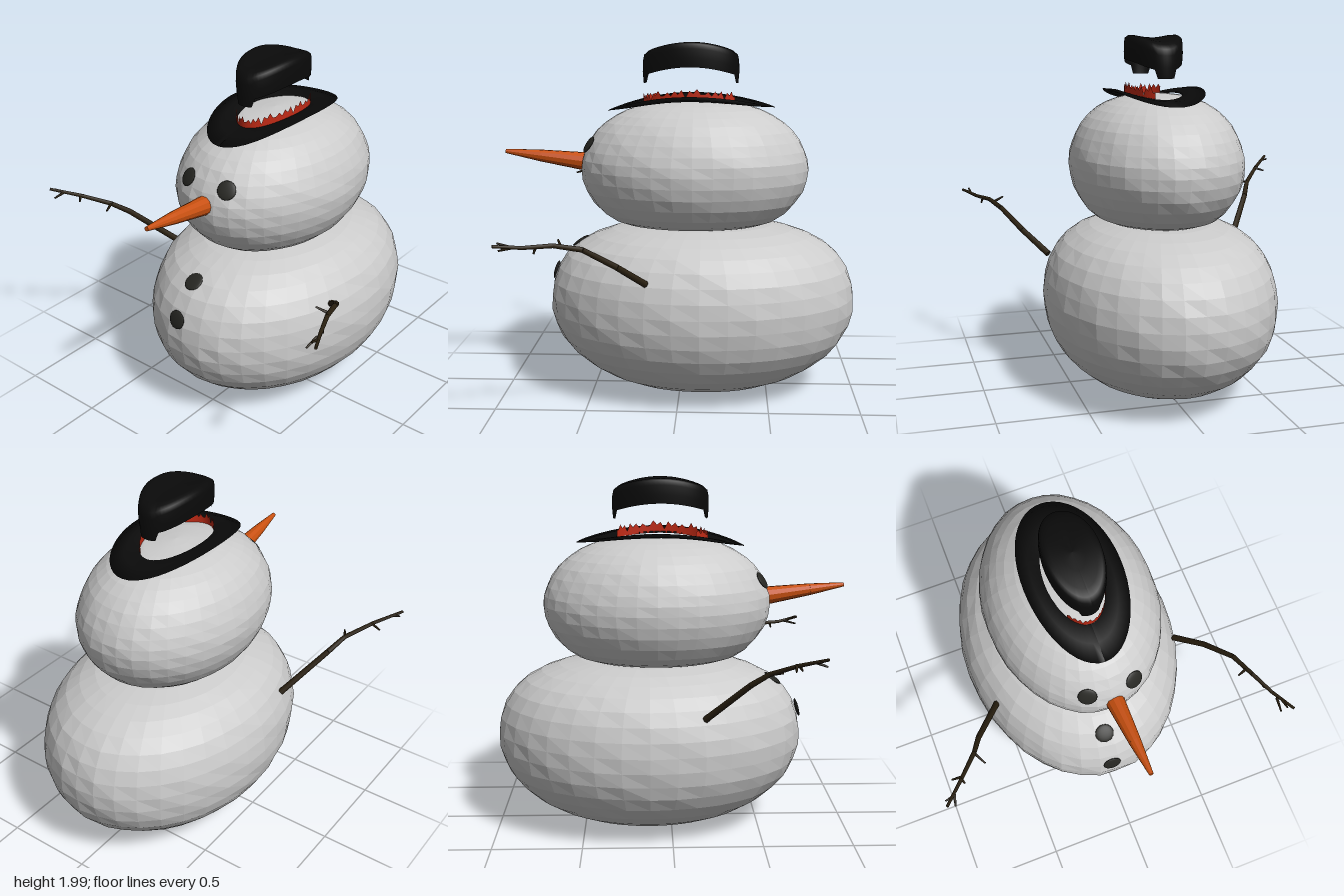
import * as THREE from 'three';

const mat = (color, extra = {}) => new THREE.MeshStandardMaterial({ color, ...extra });
const snow = mat(0xcccccc, { flatShading: true });
const felt = mat(0x0a0a0a, { side: THREE.DoubleSide });
const ribbon = mat(0xc02a15, { side: THREE.DoubleSide });
const coal = mat(0x262622);
const carrot = mat(0xc8500f, { flatShading: true });
const bark = mat(0x2a2010);

const vec = (p) => new THREE.Vector3(...p);

function add(parent, name, geometry, material) {
  const mesh = new THREE.Mesh(geometry, material);
  mesh.name = name;
  parent.add(mesh);
  return mesh;
}

// Moves every vertex by a rule
function reshape(geometry, rule) {
  const pos = geometry.attributes.position;
  const v = new THREE.Vector3();
  for (let i = 0; i < pos.count; i++) {
    rule(v.fromBufferAttribute(pos, i));
    pos.setXYZ(i, v.x, v.y, v.z);
  }
  geometry.computeVertexNormals();
  return geometry;
}

// Slightly lumpy snowball, stretched front to back
function snowball(profile, stretch, x, z) {
  const curve = new THREE.SplineCurve(profile.map(([r, y]) => new THREE.Vector2(r, y)));
  const pts = curve.getPoints(20).map((p) => new THREE.Vector2(Math.max(p.x, 0), p.y));
  return reshape(new THREE.LatheGeometry(pts, 36), (v) => {
    const lump = 1 + 0.006 * Math.sin(v.x * 23 + v.y * 17) * Math.sin(v.z * 19 - v.y * 29);
    v.set(v.x * lump + x, v.y, v.z * lump * stretch + z);
  });
}

// Flat coal disc facing along a normal
function coalDisc(parent, name, position, normal, radius) {
  const disc = add(parent, name, new THREE.SphereGeometry(radius, 20, 10), coal);
  disc.scale.z = 0.2;
  disc.position.set(...position);
  disc.lookAt(vec(position).add(vec(normal)));
}

// Tapered rod between two points
function rod(parent, name, from, to, r0, r1, material, sides = 7) {
  const a = vec(from), b = vec(to), dir = b.clone().sub(a);
  const mesh = add(parent, name, new THREE.CylinderGeometry(r1, r0, dir.length(), sides), material);
  mesh.position.copy(a).add(b).multiplyScalar(0.5);
  mesh.quaternion.setFromUnitVectors(new THREE.Vector3(0, 1, 0), dir.normalize());
  return mesh;
}

// Branch arm: a bent tapering limb with side twigs
function arm(name, path, twigs) {
  const g = new THREE.Group();
  g.name = name;
  const radius = (i) => 0.019 - 0.011 * i / (path.length - 1);
  for (let i = 0; i < path.length - 1; i++) {
    rod(g, 'branch', path[i], path[i + 1], radius(i), radius(i + 1), bark);
  }
  for (const [from, to] of twigs) rod(g, 'twig', from, to, 0.009, 0.005, bark, 5);
  return g;
}

// Hat centre and the saddle-shaped height of the brim
const HX = 0.015, HZ = -0.058;
const brimY = (x, z) => 1.655 + 0.05 * (x / 0.265) ** 2 - (z > 0 ? 0.042 : 0.02) * (z / 0.475) ** 2;

function hat() {
  const g = new THREE.Group();
  g.name = 'hat';
  g.position.set(HX, 0, HZ);

  // Brim: thin elliptical ring bent over the head
  const ring = [[0, 0], [0.5, -0.004], [1, 0], [0.5, 0.014], [0, 0.01], [0, 0]]
    .map(([t, y]) => new THREE.Vector2(0.15 + 0.115 * t, y));
  add(g, 'brim', reshape(new THREE.LatheGeometry(ring, 48), (v) => {
    const r = Math.hypot(v.x, v.z), t = (r - 0.15) / 0.115;
    v.z *= (0.27 + 0.205 * t) / r;
    v.y += brimY(v.x, v.z);
  }), felt);

  // Crown: open shell with a curved lower edge and a tab at each end
  const shell = [[0.148, 0], [0.151, 0.35], [0.15, 0.7], [0.146, 0.88], [0.132, 0.97], [0.11, 1], [0.06, 0.99], [0, 0.985]]
    .map(([r, y]) => new THREE.Vector2(r, y));
  add(g, 'crown', reshape(new THREE.LatheGeometry(shell, 60), (v) => {
    const r = Math.hypot(v.x, v.z) || 1e-6, side = Math.abs(v.x / r);
    const bottom = side < 0.33 ? 1.77 : 1.86 - 0.05 * (v.z / r) ** 2;
    const top = 1.985 + 0.015 * (v.x / 0.13) ** 2 - 0.03 * (v.z / 0.13) ** 2;
    v.y = bottom + (top - bottom) * v.y;
    v.z *= 1.8;
  }), felt);

  // Ragged ribbon: a torn strip standing on the inner edge of the brim
  const teeth = [0.03, 0.045, 0.025, 0.05, 0.03, 0.055, 0.012, 0.05, 0.035, 0.06, 0.03];
  const count = 44, start = -0.75, sweep = 3.5;
  const strip = new THREE.PlaneGeometry(1, 1, count, 1);
  add(g, 'ribbon', reshape(strip, (v) => {
    const i = Math.round((v.x + 0.5) * count);
    const a = start + sweep * i / count;
    const x = 0.15 * Math.sin(a), z = 0.268 * Math.cos(a);
    const height = 0.012 + teeth[i % teeth.length];
    v.set(x, brimY(x, z) + (v.y > 0 ? height : 0), z);
  }), ribbon);
  return g;
}

export function createModel() {
  const model = new THREE.Group();
  model.name = 'snowman';

  // Body and head
  add(model, 'body', snowball([[0, 0.005], [0.15, 0.015], [0.3, 0.05], [0.45, 0.13], [0.57, 0.26], [0.63, 0.4],
    [0.645, 0.55], [0.62, 0.7], [0.55, 0.83], [0.43, 0.92], [0.27, 0.968], [0, 0.98]], 1.355, 0.005, -0.125), snow);
  add(model, 'head', snowball([[0, 0.96], [0.24, 0.965], [0.36, 1.01], [0.45, 1.14], [0.48, 1.28],
    [0.46, 1.4], [0.4, 1.52], [0.3, 1.61], [0.17, 1.66], [0, 1.68]], 1.35, 0.007, -0.08), snow);

  // Eyes and buttons
  coalDisc(model, 'rightEye', [-0.117, 1.432, 0.508], [-0.3, 0.55, 0.8], 0.052);
  coalDisc(model, 'leftEye', [0.146, 1.432, 0.508], [0.3, 0.55, 0.8], 0.052);
  coalDisc(model, 'upperButton', [-0.035, 0.85, 0.588], [-0.05, 0.83, 0.55], 0.054);
  coalDisc(model, 'lowerButton', [-0.038, 0.675, 0.732], [-0.05, 0.26, 0.96], 0.053);

  // Carrot nose with a blunt tip
  rod(model, 'nose', [0.022, 1.317, 0.5], [0.035, 1.357, 0.8], 0.056, 0.034, carrot, 11);
  rod(model, 'noseTip', [0.035, 1.357, 0.8], [0.045, 1.383, 0.998], 0.034, 0.012, carrot, 11);

  // Branch arms
  model.add(arm('rightArm',
    [[-0.55, 0.75, 0.17], [-0.72, 0.98, 0.39], [-0.77, 1.05, 0.48], [-0.88, 1.12, 0.61], [-0.995, 1.175, 0.735]],
    [[[-0.77, 1.05, 0.48], [-0.73, 1.045, 0.555]], [[-0.87, 1.12, 0.6], [-0.93, 1.1, 0.59]],
      [[-0.88, 1.12, 0.61], [-0.87, 1.09, 0.63]], [[-0.94, 1.15, 0.68], [-0.955, 1.13, 0.74]],
      [[-0.95, 1.155, 0.69], [-0.995, 1.16, 0.7]]]));
  model.add(arm('leftArm',
    [[0.585, 0.74, 0.16], [0.71, 0.86, 0.3], [0.81, 0.97, 0.46], [0.86, 1, 0.6], [0.92, 1.0, 0.74], [0.99, 1.02, 0.875]],
    [[[0.84, 0.99, 0.56], [0.78, 1.015, 0.585]], [[0.89, 1, 0.68], [0.9, 0.965, 0.69]],
      [[0.93, 1.005, 0.78], [0.925, 0.985, 0.86]], [[0.95, 1.01, 0.8], [0.955, 1.03, 0.86]]]));

  model.add(hat());
  return model;
}
